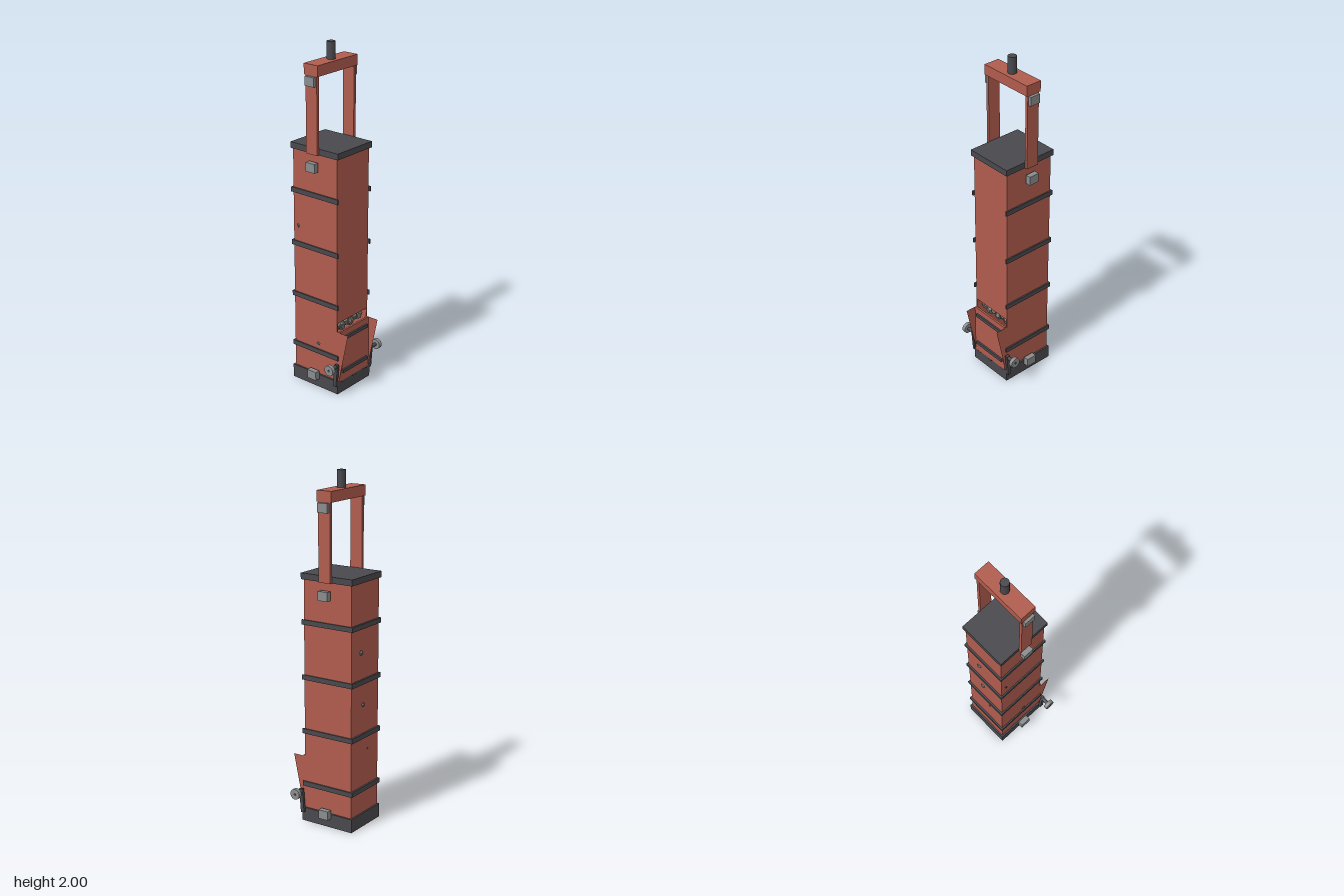
import * as THREE from 'three';

export function createModel() {
  const model = new THREE.Group();
  model.name = 'hoistSkip';

  const mat = (name, color) => {
    const m = new THREE.MeshStandardMaterial({ color });
    m.name = name;
    return m;
  };
  const red = mat('rust red paint', 0xb05c4e);
  const dark = mat('dark steel', 0x49484d);
  const grey = mat('light steel', 0x8a8c8d);
  const stone = mat('grey ore', 0x6c6c68);
  const panel = mat('rust red sheet', 0xb05c4e);
  panel.side = THREE.DoubleSide;

  const add = (name, geometry, material) => {
    const mesh = new THREE.Mesh(geometry, material);
    mesh.name = name;
    model.add(mesh);
    return mesh;
  };
  // Box given by its extents on each axis
  const box = (name, material, [x0, x1], [y0, y1], [z0, z1]) => {
    const mesh = add(name, new THREE.BoxGeometry(x1 - x0, y1 - y0, z1 - z0), material);
    mesh.position.set((x0 + x1) / 2, (y0 + y1) / 2, (z0 + z1) / 2);
    return mesh;
  };
  const span = (s, a, b) => (s > 0 ? [a, b] : [-b, -a]);

  // Base, lid and hollow body, open low on the +x side
  const capX = [-0.2, 0.135], capZ = [-0.145, 0.145];
  box('base', dark, capX, [0, 0.08], capZ);
  box('lid', dark, capX, [1.41, 1.445], capZ);
  box('backWall', red, [-0.19, -0.18], [0.08, 1.41], [-0.135, 0.135]);
  box('upperFrontWall', red, [0.112, 0.122], [0.44, 1.41], [-0.135, 0.135]);
  for (const s of [1, -1]) {
    box('sideWall', red, [-0.19, 0.122], [0.08, 1.41], span(s, 0.127, 0.135));
  }

  // Reinforcing bands around three sides
  for (const y of [0.225, 0.54, 0.855, 1.17]) {
    const h = [y - 0.014, y + 0.014];
    box('backBand', dark, [-0.201, -0.19], h, [-0.143, 0.143]);
    for (const s of [1, -1]) box('sideBand', dark, [-0.201, 0.133], h, span(s, 0.135, 0.143));
  }

  // Lifting frame
  box('crossbar', red, [-0.08, 0.015], [1.845, 1.905], [-0.165, 0.165]);
  const pin = add('ropePin', new THREE.CylinderGeometry(0.024, 0.024, 0.095, 16), dark);
  pin.position.set(-0.032, 1.9525, 0);
  for (const s of [1, -1]) {
    box('hangerLeg', red, [-0.071, 0.006], [1.41, 1.85], span(s, 0.145, 0.162));
    // Guide shoes
    for (const y of [0.08, 1.34, 1.815]) {
      box('guideShoe', grey, [-0.063, 0], [y - 0.026, y + 0.026], span(s, 0.148, 0.179));
    }
  }

  // Discharge door with its straps and hinge knuckles
  box('door', red, [0.126, 0.138], [0.075, 0.39], [-0.13, 0.13]);
  for (const y of [0.137, 0.343]) {
    box('doorStrap', dark, [0.138, 0.148], [y - 0.01, y + 0.01], [-0.11, 0.11]);
  }
  for (const z of [-0.1, 0, 0.1]) {
    const hinge = add('doorHinge', new THREE.CylinderGeometry(0.008, 0.008, 0.03, 8), dark);
    hinge.rotation.x = Math.PI / 2;
    hinge.position.set(0.131, 0.072, z);
  }

  // Triangular chute cheeks
  const cheek = new THREE.Shape([
    new THREE.Vector2(0.12, 0.08), new THREE.Vector2(0.135, 0.08),
    new THREE.Vector2(0.2, 0.388), new THREE.Vector2(0.12, 0.388),
  ]);
  for (const s of [1, -1]) {
    add('chuteCheek', new THREE.ShapeGeometry(cheek), panel).position.z = s * 0.133;
  }

  // Latch arms and rollers
  for (const s of [1, -1]) {
    const arm = add('latchArm', new THREE.BoxGeometry(0.022, 0.14, 0.016), dark);
    arm.position.set(0.13, 0.125, s * 0.153);
    arm.rotation.z = -0.08;
    const axle = add('rollerAxle', new THREE.CylinderGeometry(0.011, 0.011, 0.055, 12), dark);
    axle.rotation.x = Math.PI / 2;
    axle.position.set(0.133, 0.182, s * 0.176);
    const roller = add('roller', new THREE.CylinderGeometry(0.031, 0.031, 0.022, 20), grey);
    roller.rotation.x = Math.PI / 2;
    roller.position.set(0.133, 0.182, s * 0.211);
    const hub = add('rollerHub', new THREE.CylinderGeometry(0.008, 0.008, 0.003, 10), dark);
    hub.rotation.x = Math.PI / 2;
    hub.position.set(0.133, 0.182, s * 0.2215);
  }

  // Ore heap seen through the opening
  let seed = 7;
  const rand = () => (seed = (seed * 16807) % 2147483647) / 2147483647;
  const rock = (x, y, z, r) => {
    const mesh = add('oreLump', new THREE.DodecahedronGeometry(r, 0), stone);
    mesh.position.set(x, y, z);
    mesh.rotation.set(rand() * 3, rand() * 3, rand() * 3);
    return mesh;
  };
  for (let i = 0; i < 5; i++) {
    for (let j = 0; j < 6; j++) {
      rock(-0.14 + i * 0.055, 0.385 + rand() * 0.025, -0.095 + j * 0.037, 0.023 + rand() * 0.008);
    }
  }
  // Lumps poking through the walls
  rock(-0.186, 1.02, -0.04, 0.016);
  rock(-0.187, 0.72, -0.02, 0.014);
  rock(-0.187, 0.45, 0.03, 0.007);
  rock(-0.015, 0.272, 0.131, 0.012);
  const shard = rock(-0.157, 0.962, 0.132, 0.012);
  shard.scale.set(0.6, 1.3, 0.7);
  shard.rotation.set(0, 0, 0.4);

  return model;
}
